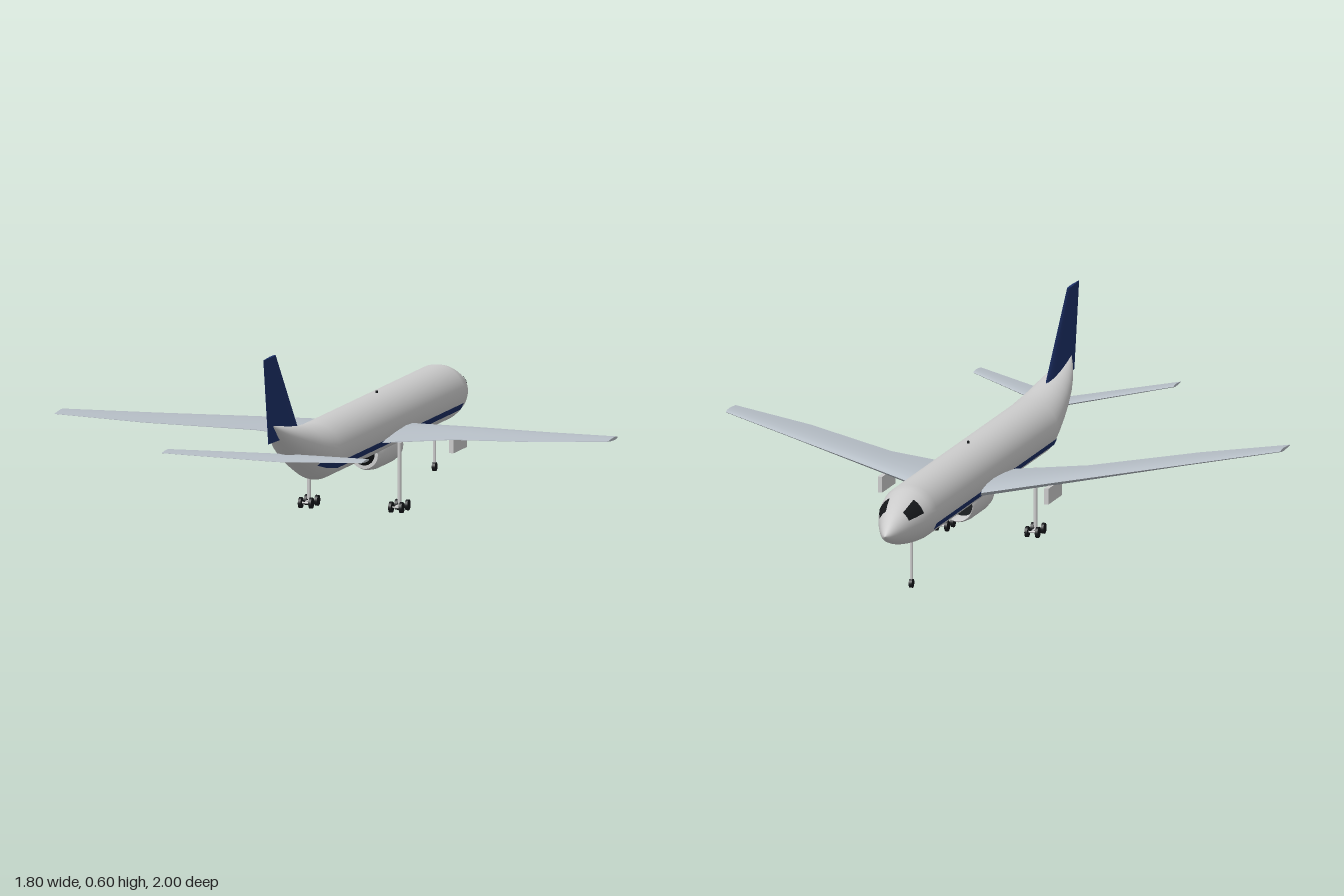
import * as THREE from 'three';
import { toCreasedNormals } from 'three/addons/utils/BufferGeometryUtils.js';

const mat = (color, side = THREE.FrontSide) => new THREE.MeshStandardMaterial({ color, side });
const white = mat(0xeeeeee, THREE.DoubleSide);
const grey = mat(0xcccccc);
const wingGrey = mat(0xb6bec6);
const navy = mat(0x1c2f66);
const black = mat(0x15171a);

// Skin a list of rings; open rings make a surface patch, closed ones get end caps
function loft(rings, closed = true) {
  const n = rings[0].length, index = [];
  for (let i = 0; i < rings.length - 1; i++) {
    for (let j = 0; j < (closed ? n : n - 1); j++) {
      const k = (j + 1) % n;
      const a = i * n + j, b = i * n + k, c = b + n, d = a + n;
      index.push(a, b, c, a, c, d);
    }
  }
  if (closed) {
    const e = (rings.length - 1) * n;
    for (let j = 1; j < n - 1; j++) index.push(0, j + 1, j, e, e + j, e + j + 1);
  }
  const g = new THREE.BufferGeometry();
  g.setAttribute('position', new THREE.Float32BufferAttribute(rings.flat(2), 3));
  g.setIndex(index);
  g.computeVertexNormals();
  return g;
}

// Fuselage stations, nose to tail: z, bottom, top, half width
const STATIONS = [
  [-1, 0.218, 0.222, 0.002], [-0.985, 0.205, 0.233, 0.014], [-0.95, 0.19, 0.258, 0.032],
  [-0.905, 0.176, 0.284, 0.05], [-0.87, 0.168, 0.298, 0.063], [-0.83, 0.161, 0.312, 0.075],
  [-0.79, 0.156, 0.324, 0.084], [-0.75, 0.153, 0.331, 0.09], [0.48, 0.153, 0.331, 0.09],
  [0.54, 0.176, 0.335, 0.084], [0.6, 0.2, 0.34, 0.076], [0.67, 0.232, 0.35, 0.066],
  [0.74, 0.266, 0.36, 0.053], [0.8, 0.302, 0.369, 0.038], [0.85, 0.338, 0.377, 0.022],
  [0.895, 0.379, 0.385, 0.003],
];

// Point on the fuselage skin at a given z and angle (0 = left side, 90 = top)
function skin(z, deg, lift = 0) {
  let i = 0;
  while (i < STATIONS.length - 2 && z > STATIONS[i + 1][0]) i++;
  const A = STATIONS[i], B = STATIONS[i + 1], t = (z - A[0]) / (B[0] - A[0]);
  const [bottom, top, w] = [1, 2, 3].map((k) => THREE.MathUtils.lerp(A[k], B[k], t));
  const a = THREE.MathUtils.degToRad(deg);
  return [(w + lift) * Math.cos(a), (bottom + top) / 2 + ((top - bottom) / 2 + lift) * Math.sin(a), z];
}

// Painted band or window on the skin; each row is z, lower angle, upper angle
function patch(rows, side) {
  return loft(rows.map(([z, lo, hi]) => {
    const [from, to] = side > 0 ? [lo, hi] : [180 - hi, 180 - lo];
    return Array.from({ length: 9 }, (_, j) => skin(z, from + ((to - from) * j) / 8, 0.002));
  }), false);
}

// Aerofoil outline: chord fraction and thickness fraction
const FOIL = [[0, 0], [0.04, 0.45], [0.15, 0.85], [0.35, 1], [0.65, 0.7], [1, 0.06],
  [1, -0.06], [0.65, -0.7], [0.35, -1], [0.15, -0.85], [0.04, -0.45]];

// Full-span wing, tip to tip, from half-span rows: x, leading z, trailing z, y, half thickness
function wing(rows) {
  const span = [...rows.slice().reverse().map(([x, ...r]) => [-x, ...r]), ...rows];
  return toCreasedNormals(loft(span.map(([x, le, te, y, h]) =>
    FOIL.map(([c, t]) => [x, y + t * h, le + c * (te - le)]))), 0.7);
}

export function createModel() {
  const model = new THREE.Group();
  const add = (name, geometry, material, x = 0, y = 0, z = 0, parent = model) => {
    const m = new THREE.Mesh(geometry, material);
    m.name = name;
    m.position.set(x, y, z);
    parent.add(m);
    return m;
  };

  // Body
  add('fuselage', loft(STATIONS.map(([z]) =>
    Array.from({ length: 48 }, (_, j) => skin(z, j * 7.5)))), white);
  for (const s of [1, -1]) {
    const side = s > 0 ? 'left' : 'right';
    add(side + 'Stripe', patch([[-0.75, -33, -18], [0.48, -33, -18], [0.54, -42, -28], [0.6, -48, -37]], s), navy);
    add(side + 'CockpitWindow', patch([[-0.905, 25, 58], [-0.87, 22, 59], [-0.83, 20, 60]], s), black);
  }
  add('antenna', new THREE.CylinderGeometry(0.004, 0.004, 0.012, 10), black, 0, 0.332, -0.15);

  // Wings and tail
  add('wings', wing([
    [0.05, -0.314, 0.053, 0.206, 0.022], [0.32, -0.149, 0.075, 0.233, 0.015],
    [0.63, 0.04, 0.225, 0.263, 0.009], [0.9, 0.205, 0.305, 0.289, 0.005],
  ]), wingGrey);
  add('tailplane', wing([[0.01, 0.7, 0.842, 0.262, 0.008], [0.325, 0.922, 0.998, 0.297, 0.004]]), wingGrey);
  const fin = [[0.33, 0.63, 0.93, 0.012], [0.6, 0.86, 0.98, 0.005]];
  add('fin', toCreasedNormals(loft(fin.map(([y, le, te, h]) =>
    FOIL.map(([c, t]) => [-t * h, y, le + c * (te - le)]))), 0.7), navy);

  // Belly engine: hollow cowl, dark intake and exhaust cone
  const engine = new THREE.Group();
  engine.name = 'engine';
  engine.position.set(0, 0.156, 0);
  model.add(engine);
  const cowl = [[0.043, -0.2], [0.045, -0.25], [0.049, -0.262], [0.053, -0.255], [0.056, -0.22],
    [0.056, -0.09], [0.052, -0.05], [0.045, -0.025], [0.034, -0.025]];
  const lathe = (pts) => new THREE.LatheGeometry(pts.map(([r, z]) => new THREE.Vector2(r, z)), 32).rotateX(Math.PI / 2);
  add('cowl', toCreasedNormals(lathe(cowl), 0.9), white, 0, 0, 0, engine);
  add('intakeFan', new THREE.CircleGeometry(0.044, 32).rotateY(Math.PI), black, 0, 0, -0.205, engine);
  add('exhaustCone', new THREE.CylinderGeometry(0.006, 0.035, 0.065, 32).rotateX(Math.PI / 2), black, 0, 0, 0.005, engine);

  // Pylons and main landing gear, mirrored
  const wheel = (r, w) => new THREE.CylinderGeometry(r, r, w, 24).rotateZ(Math.PI / 2);
  for (const s of [1, -1]) {
    const side = s > 0 ? 'left' : 'right';
    add(side + 'Pylon', new THREE.BoxGeometry(0.014, 0.05, 0.135), grey, s * 0.27, 0.192, -0.135);
    const gear = new THREE.Group();
    gear.name = side + 'MainGear';
    gear.position.set(s * 0.147, 0, 0.073);
    model.add(gear);
    add('strut', new THREE.CylinderGeometry(0.006, 0.006, 0.19, 12), grey, 0, 0.12, 0, gear);
    add('bogieBeam', new THREE.BoxGeometry(0.008, 0.008, 0.06), grey, 0, 0.018, 0, gear);
    for (const z of [-0.03, 0.03]) {
      add('axle', wheel(0.003, 0.034), grey, 0, 0.017, z, gear);
      for (const x of [-0.017, 0.017]) add('wheel', wheel(0.017, 0.009), black, x, 0.017, z, gear);
    }
  }

  // Nose gear
  add('noseStrut', new THREE.CylinderGeometry(0.005, 0.005, 0.15, 12), grey, 0, 0.092, -0.73);
  add('noseWheel', wheel(0.014, 0.01), black, 0, 0.014, -0.73);
  return model;
}
